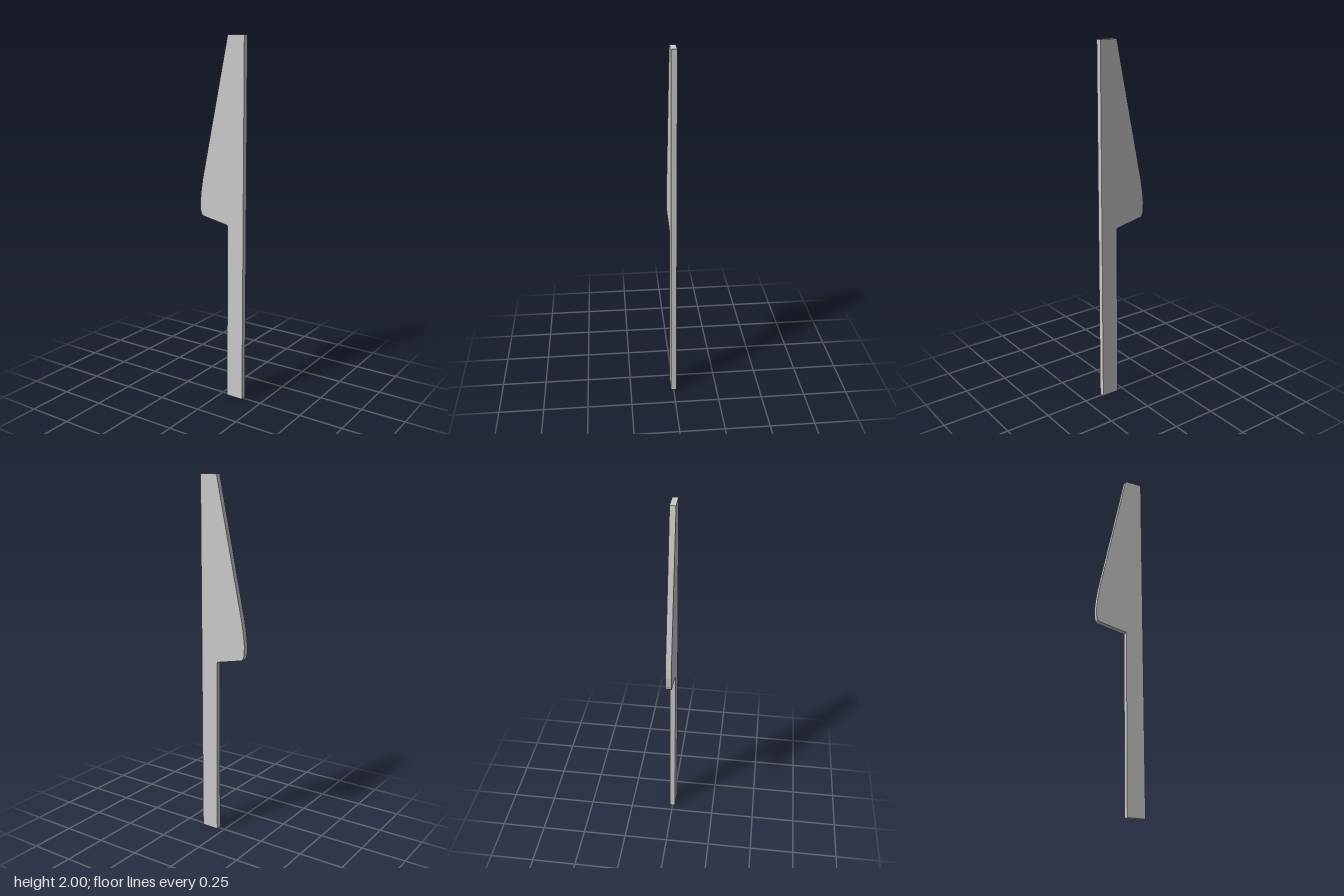
import * as THREE from 'three';

const THICKNESS = 0.031;

export function createModel() {
  const group = new THREE.Group();
  group.name = 'knife';

  // Flat outline: straight handle and spine, tapering blade with a rounded heel
  const outline = new THREE.Shape([
    [0.039, 0], [0.139, 0], [0.139, 2], [0.039, 2],
    [-0.122, 1.24], [-0.133, 1.17], [-0.139, 1.115], [-0.138, 1.065],
    [-0.132, 1.043], [-0.122, 1.033], [0.039, 1],
  ].map(([x, y]) => new THREE.Vector2(x, y)));

  const geometry = new THREE.ExtrudeGeometry(outline, { depth: THICKNESS, bevelEnabled: false });
  geometry.translate(0, 0, -THICKNESS / 2);

  const material = new THREE.MeshStandardMaterial({ color: 0xcccccc, flatShading: true });
  const knife = new THREE.Mesh(geometry, material);
  knife.name = 'bladeAndHandle';
  group.add(knife);

  return group;
}
